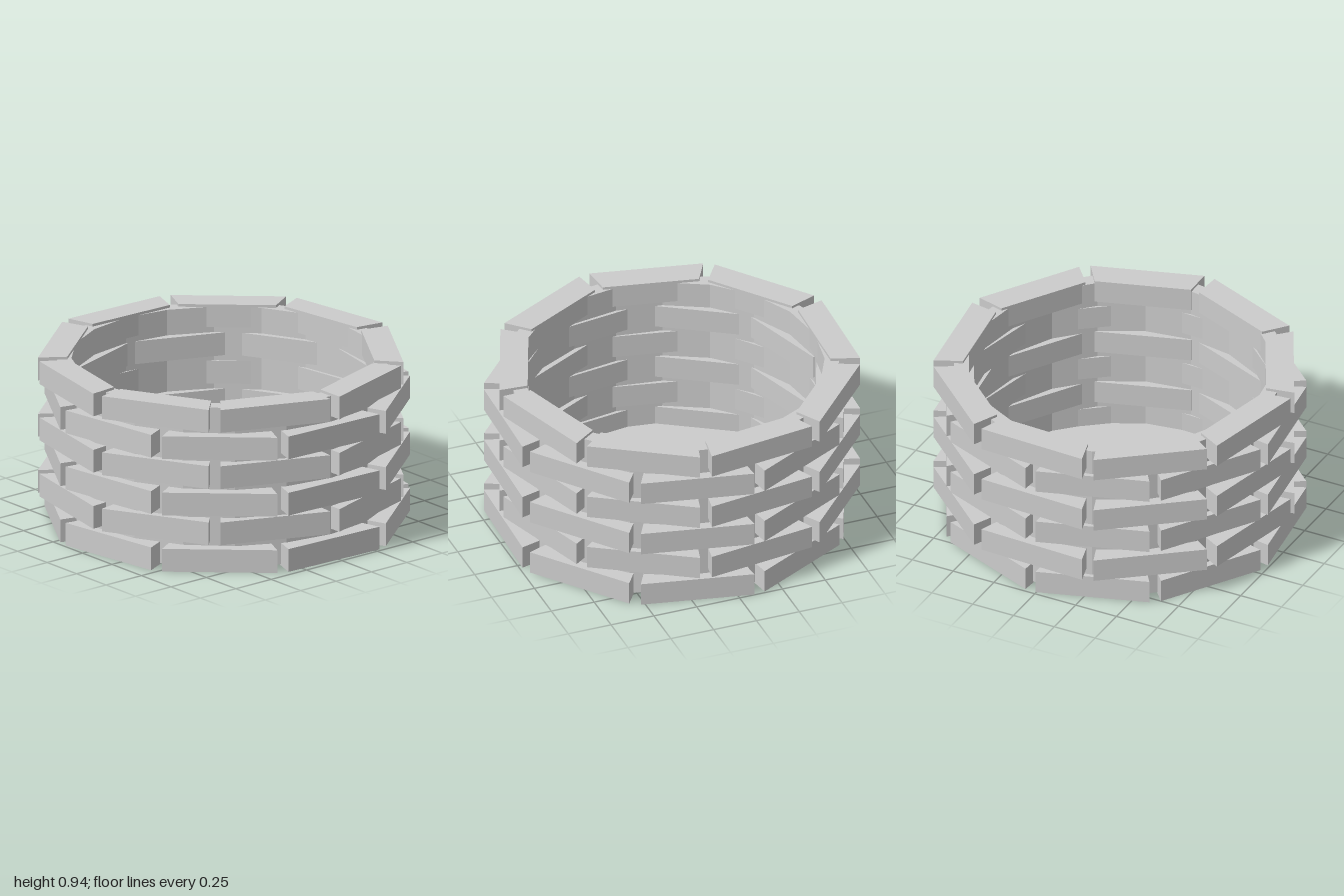
import * as THREE from 'three';

const material = new THREE.MeshStandardMaterial({ color: 0xcccccc, flatShading: true });

// Stand a flat outline up as a solid of the given height, base at y = 0
function slab(shape, height) {
  const g = new THREE.ExtrudeGeometry(shape, { depth: height, bevelEnabled: false });
  return g.rotateX(-Math.PI / 2);
}

function polygon(radius, sides) {
  const pts = [];
  for (let i = 0; i < sides; i++) {
    const a = (i / sides) * Math.PI * 2;
    pts.push(new THREE.Vector2(radius * Math.cos(a), radius * Math.sin(a)));
  }
  return pts;
}

export function createModel() {
  const model = new THREE.Group();
  model.name = 'brickWell';

  const rows = 6, perRow = 9, pitch = 0.161, brickHeight = 0.13;
  const outer = 0.953, inner = 0.8, halfOuter = 0.313, halfInner = 0.265;

  // Wedge-shaped brick with flat faces and radial ends
  const brickGeometry = slab(new THREE.Shape([
    new THREE.Vector2(inner, -halfInner),
    new THREE.Vector2(outer, -halfOuter),
    new THREE.Vector2(outer, halfOuter),
    new THREE.Vector2(inner, halfInner),
  ]), brickHeight);

  // Alternating courses, each staggered by half a brick and slightly shifted
  for (let r = 0; r < rows; r++) {
    const odd = r % 2;
    const course = new THREE.Group();
    course.name = `brickCourse${r + 1}`;
    course.position.set(odd ? -0.02 : 0.02, r * pitch, 0);
    for (let i = 0; i < perRow; i++) {
      const brick = new THREE.Mesh(brickGeometry, material);
      brick.name = 'brick';
      brick.rotation.y = THREE.MathUtils.degToRad((odd ? 18 : -2) + (i * 360) / perRow);
      course.add(brick);
    }
    model.add(course);
  }

  // Mortar wall between the bricks
  const ring = new THREE.Shape(polygon(0.912, 20));
  ring.holes.push(new THREE.Path(polygon(0.83, 20)));
  const mortar = new THREE.Mesh(slab(ring, 0.912), material);
  mortar.name = 'mortarWall';
  mortar.position.y = 0.008;
  model.add(mortar);

  // Floor closing the bottom
  const floor = new THREE.Mesh(slab(new THREE.Shape(polygon(0.87, 20)), 0.02), material);
  floor.name = 'floor';
  floor.position.y = 0.002;
  model.add(floor);

  return model;
}
